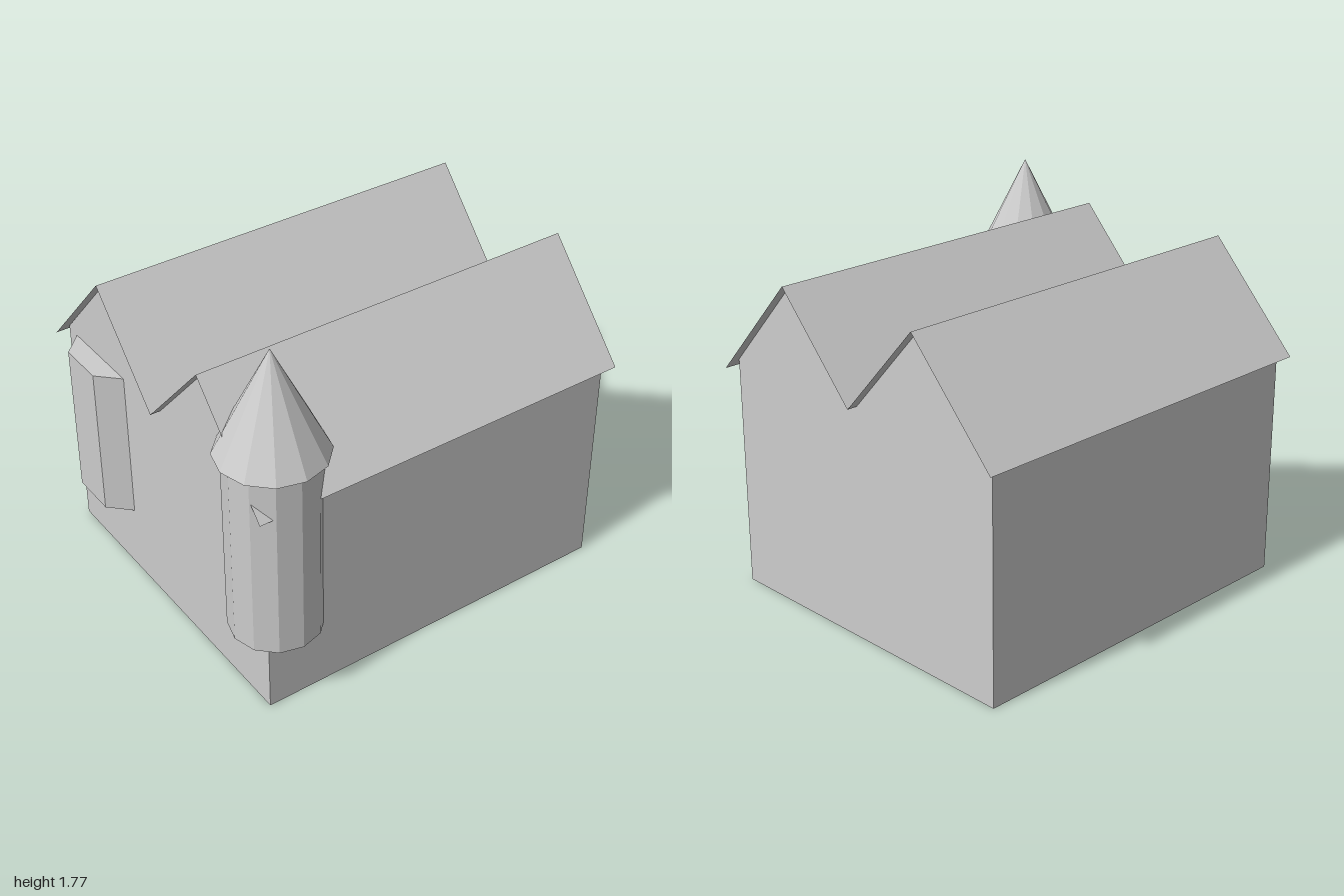
import * as THREE from 'three';

export function createModel() {
  const group = new THREE.Group();
  const grey = new THREE.MeshStandardMaterial({ color: 0xcccccc, flatShading: true, side: THREE.DoubleSide });
  grey.name = 'plain grey';

  const add = (name, geometry) => {
    const mesh = new THREE.Mesh(geometry, grey);
    mesh.name = name;
    group.add(mesh);
    return mesh;
  };

  // Thin sheet: an x/y profile swept from zFront to zBack
  const sheet = (points, zFront, zBack) => {
    const pos = [];
    for (let i = 0; i < points.length - 1; i++) {
      const [ax, ay] = points[i], [bx, by] = points[i + 1];
      const a = [ax, ay, zFront], b = [bx, by, zFront], c = [bx, by, zBack], d = [ax, ay, zBack];
      pos.push(...a, ...b, ...c, ...a, ...c, ...d);
    }
    const g = new THREE.BufferGeometry();
    g.setAttribute('position', new THREE.Float32BufferAttribute(pos, 3));
    g.computeVertexNormals();
    return g;
  };
  const shape = (points) => new THREE.Shape(points.map(([x, y]) => new THREE.Vector2(x, y)));

  // Hollow house walls with twin gables, open underneath
  const front = 0.88, back = -0.95, left = 0.78, right = -0.86, eave = 1.115;
  const ridges = [[-0.45, 1.563], [-0.04, 1.115], [0.37, 1.563]];
  const gable = [[right, 0], [left, 0], [left, eave], ...[...ridges].reverse(), [right, eave]];
  add('frontWall', new THREE.ShapeGeometry(shape(gable)).translate(0, 0, front));
  add('backWall', new THREE.ShapeGeometry(shape(gable.map(([x, y]) => [-x, y]).reverse()))
    .rotateY(Math.PI).translate(0, 0, back));
  add('rightWall', sheet([[right, 0], [right, eave]], front, back));
  add('leftWall', sheet([[left, eave], [left, 0]], front, back));

  // Folded roof overhanging on all sides
  add('roof', sheet([[-0.9, 1.075], ...ridges, [0.817, 1.075]], 0.93, -1));

  // Bay window box on the front wall
  const bay = shape([[-0.79, front], [-0.36, front], [-0.46, 0.98], [-0.69, 0.98]]);
  add('bayWindow', new THREE.ExtrudeGeometry(bay, { depth: 0.76, bevelEnabled: false })
    .rotateX(Math.PI / 2).translate(0, 1.1, 0));

  // Corner turret with a pointed roof
  const sides = 12;
  add('turret', new THREE.CylinderGeometry(0.215, 0.215, 0.93, sides)).position.set(0.64, 0.805, 0.748);
  add('turretRoof', new THREE.ConeGeometry(0.252, 0.5, sides)).position.set(0.64, 1.52, 0.748);

  return group;
}
